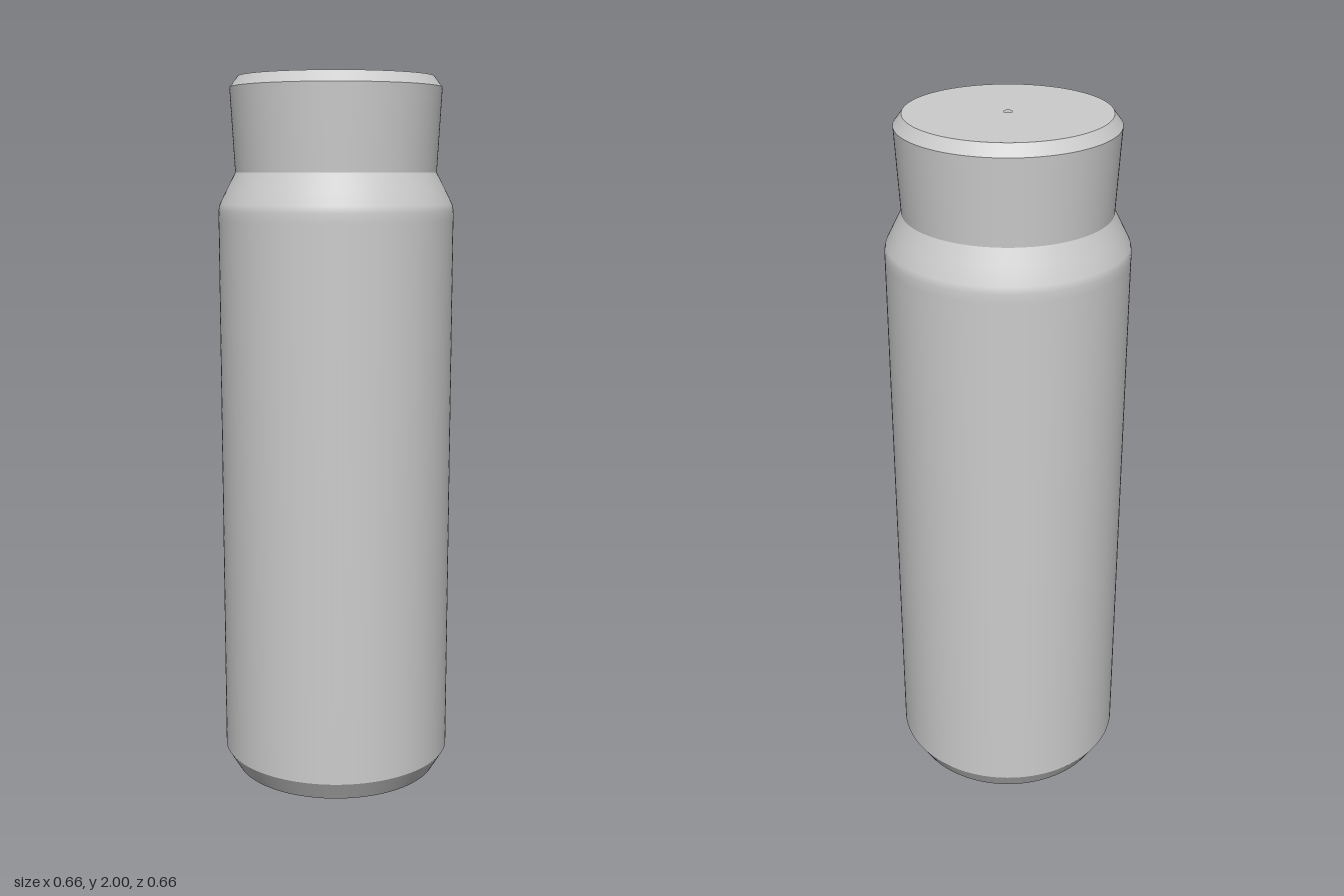
import * as THREE from 'three';

export function createModel() {
  const model = new THREE.Group();
  const grey = new THREE.MeshStandardMaterial({ color: 0xcccccc, side: THREE.DoubleSide });
  grey.name = 'plain grey';

  // Each band is turned on its own, so the edges between bands stay crisp.
  const turn = (name, profile) => {
    const points = profile.map(([r, y]) => new THREE.Vector2(r, y));
    const mesh = new THREE.Mesh(new THREE.LatheGeometry(points, 128), grey);
    mesh.name = name;
    model.add(mesh);
  };

  const hole = 0.012; // small central opening in both ends
  turn('base', [[hole, 0], [0.295, 0]]);
  turn('baseChamfer', [[0.295, 0], [0.33, 0.058]]);
  turn('body', [[0.33, 0.058], [0.33, 1.61]]);
  // Shoulder blends softly out of the body
  turn('shoulder', [[0.33, 1.61], [0.33, 1.635], [0.326, 1.653], [0.305, 1.695], [0.282, 1.74]]);
  turn('neck', [[0.282, 1.74], [0.295, 1.97]]);
  turn('rimChamfer', [[0.295, 1.97], [0.272, 2]]);
  turn('topFace', [[0.272, 2], [hole, 2]]);
  return model;
}
